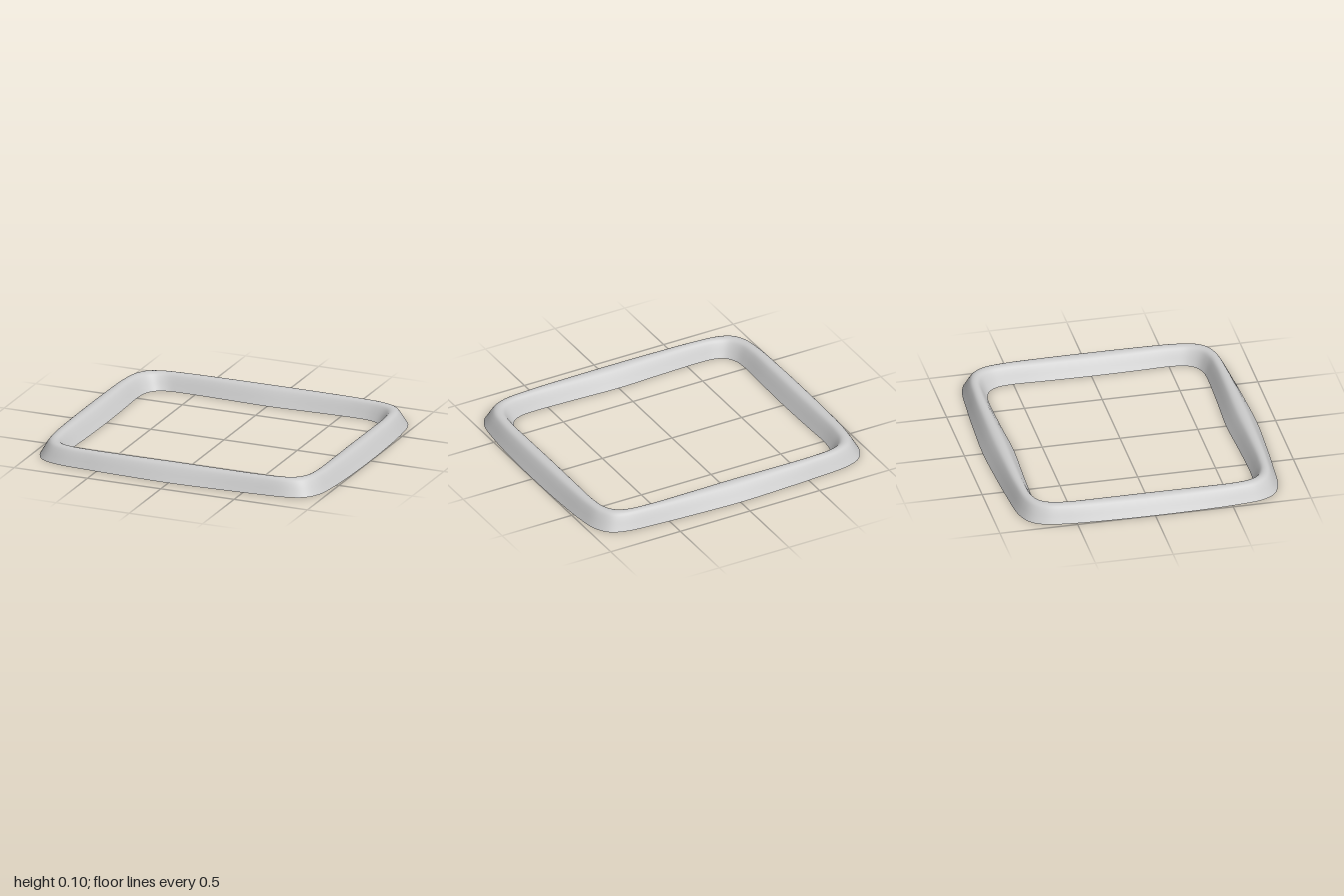
import * as THREE from 'three';

// One quarter of each outline, from the +x side round the corner to the +z side
const OUTER = [[1, 0], [0.995, 0.3], [0.98, 0.55], [0.955, 0.7], [0.9, 0.787], [0.8, 0.833], [0.55, 0.858], [0.3, 0.872], [0, 0.882]];
const INNER = [[0.8, 0], [0.804, 0.3], [0.808, 0.52], [0.793, 0.61], [0.755, 0.665], [0.69, 0.693], [0.6, 0.7], [0.3, 0.693], [0, 0.682]];
// Half of the domed section: fraction across the bar, height
const DOME = [[0, 0], [0.1, 0.03], [0.23, 0.07], [0.35, 0.097], [0.5, 0.105]];

// Mirror a quarter into a smooth closed loop
function loopCurve(q) {
  const forward = q.slice(0, -1);
  const backward = q.slice(1).reverse();
  const place = (pts, sx, sz) => pts.map(([x, z]) => new THREE.Vector3(x * sx, 0, z * sz));
  return new THREE.CatmullRomCurve3([
    ...place(forward, 1, 1), ...place(backward, -1, 1),
    ...place(forward, -1, -1), ...place(backward, 1, -1),
  ], true);
}

// Sweep a section of (fraction from outer to inner edge, height) around the loop
function sweep(section, outer, inner, steps) {
  const positions = [], index = [], n = section.length;
  for (let i = 0; i < steps; i++) {
    const o = outer.getPoint(i / steps), p = inner.getPoint(i / steps);
    for (const s of section) {
      const v = o.clone().lerp(p, s.x);
      positions.push(v.x, s.y, v.z);
    }
    for (let j = 0; j < n - 1; j++) {
      const a = i * n + j, b = ((i + 1) % steps) * n + j;
      index.push(a, a + 1, b, b, a + 1, b + 1);
    }
  }
  const geometry = new THREE.BufferGeometry();
  geometry.setAttribute('position', new THREE.Float32BufferAttribute(positions, 3));
  geometry.setIndex(index);
  geometry.computeVertexNormals();
  return geometry;
}

export function createModel() {
  const group = new THREE.Group();
  group.name = 'roundedFrame';
  const material = new THREE.MeshStandardMaterial({ color: 0xcccccc });
  const outer = loopCurve(OUTER), inner = loopCurve(INNER);

  // Domed upper surface, symmetric across the bar
  const half = DOME.map(([u, y]) => new THREE.Vector2(u, y));
  const mirrored = DOME.slice(0, -1).reverse().map(([u, y]) => new THREE.Vector2(1 - u, y));
  const section = new THREE.SplineCurve([...half, ...mirrored]).getPoints(24);

  // Flat underside, from inner edge to outer edge
  const flat = [new THREE.Vector2(1, 0), new THREE.Vector2(0, 0)];

  for (const [name, s] of [['domedFrame', section], ['flatUnderside', flat]]) {
    const mesh = new THREE.Mesh(sweep(s, outer, inner, 256), material);
    mesh.name = name;
    group.add(mesh);
  }
  return group;
}
